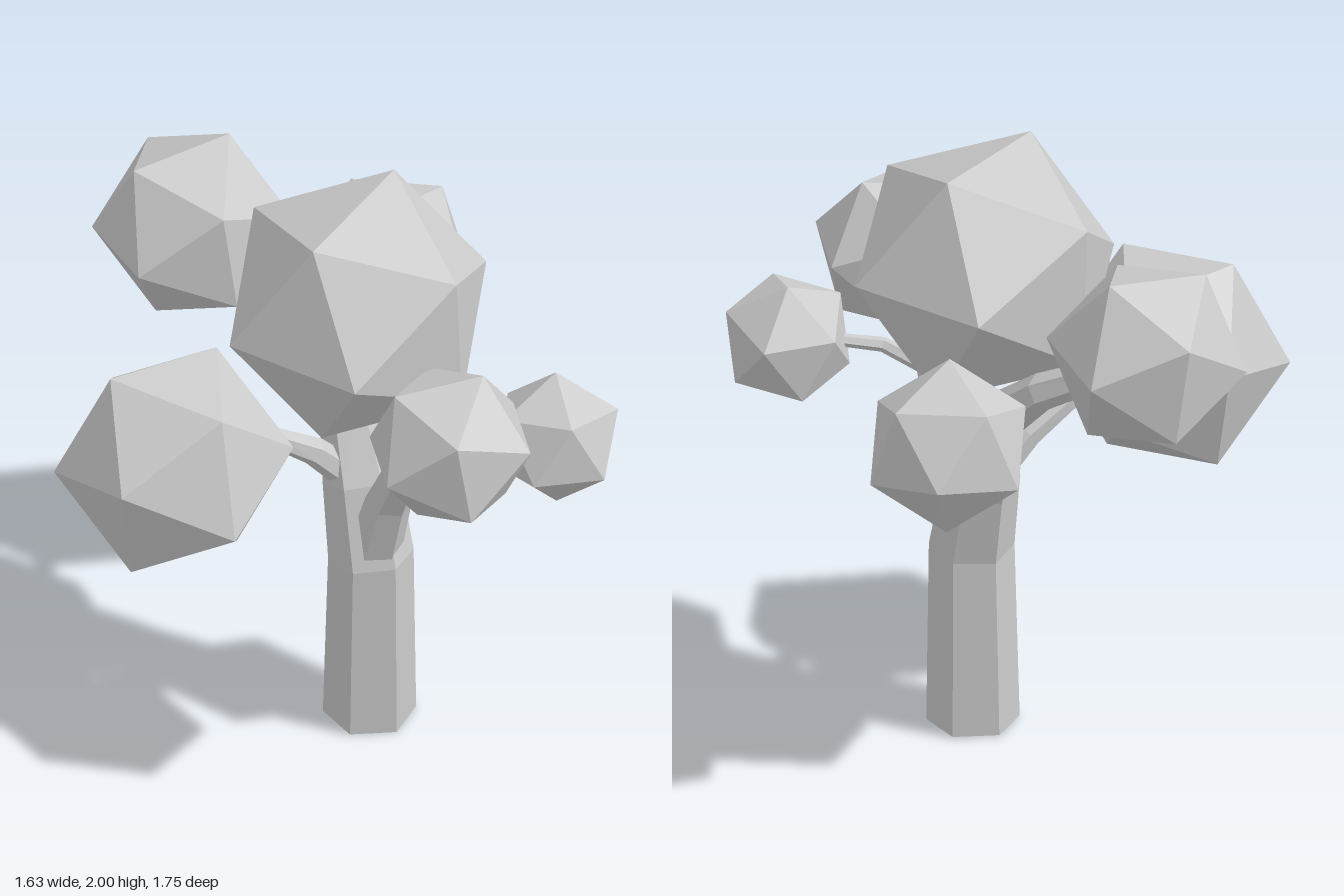
import * as THREE from 'three';

const material = new THREE.MeshStandardMaterial({ color: 0xcccccc, flatShading: true });
const vec = (a) => new THREE.Vector3(...a);

// Tapered hexagonal limb through points [x, y, z, radius]; ref fixes the ring's roll
function limb(name, points, ref = [1, 0, 0]) {
  const sides = 6;
  const centres = points.map((p) => vec(p.slice(0, 3)));
  const last = centres.length - 1;
  const positions = [];
  const index = [];
  centres.forEach((c, k) => {
    const before = c.clone().sub(centres[Math.max(k - 1, 0)]).normalize();
    const after = centres[Math.min(k + 1, last)].clone().sub(c).normalize();
    const t = k === 0 ? after : before.add(after).normalize();
    const u = vec(ref).addScaledVector(t, -vec(ref).dot(t)).normalize();
    const w = u.clone().cross(t);
    for (let i = 0; i < sides; i++) {
      const a = ((i + 0.5) / sides) * Math.PI * 2;
      const p = c.clone()
        .addScaledVector(u, Math.cos(a) * points[k][3])
        .addScaledVector(w, Math.sin(a) * points[k][3]);
      positions.push(p.x, p.y, p.z);
    }
  });
  const base = positions.length / 3;
  positions.push(...centres[0].toArray(), ...centres[last].toArray());
  for (let i = 0; i < sides; i++) {
    const j = (i + 1) % sides;
    for (let k = 0; k < last; k++) {
      const a = k * sides + i, b = k * sides + j;
      index.push(a, a + sides, b, b, a + sides, b + sides);
    }
    index.push(base, i, j, base + 1, last * sides + j, last * sides + i);
  }
  const geometry = new THREE.BufferGeometry();
  geometry.setAttribute('position', new THREE.Float32BufferAttribute(positions, 3));
  geometry.setIndex(index);
  geometry.computeVertexNormals();
  const mesh = new THREE.Mesh(geometry, material);
  mesh.name = name;
  return mesh;
}

// Icosahedral leaf clump, turned so two adjacent corners point along d1 and d2
function clump(name, centre, radius, d1, d2) {
  const a = vec(d1).normalize(), b = vec(d2).normalize();
  const x = b.clone().sub(a).normalize();
  const y = a.clone().add(b).normalize();
  const mesh = new THREE.Mesh(new THREE.IcosahedronGeometry(radius, 0), material);
  mesh.quaternion.setFromRotationMatrix(new THREE.Matrix4().makeBasis(x, y, x.clone().cross(y)));
  mesh.position.set(...centre);
  mesh.name = name;
  return mesh;
}

export function createModel() {
  const tree = new THREE.Group();
  tree.name = 'tree';

  // Trunk bending backwards into the rear clump
  tree.add(limb('trunk', [
    [0.147, 0, 0.095, 0.147], [0.145, 0.62, 0.105, 0.135], [0.15, 0.88, 0.045, 0.122],
    [0.175, 1.16, -0.08, 0.085], [0.16, 1.36, -0.31, 0.06], [0.02, 1.5, -0.53, 0.045],
  ]));

  // Branches
  tree.add(
    limb('frontBranch', [
      [0.14, 0.62, 0.12, 0.09], [0.14, 0.9, 0.21, 0.075],
      [0.13, 1.17, 0.345, 0.055], [0.09, 1.32, 0.54, 0.035],
    ]),
    limb('frontTwig', [
      [0.14, 1.14, 0.33, 0.03], [0.24, 1.2, 0.46, 0.024], [0.48, 1.25, 0.59, 0.018],
    ], [0, 1, 0]),
    limb('rightBranch', [
      [0.13, 0.88, 0.03, 0.055], [0, 1.02, 0, 0.046],
      [-0.13, 1.11, -0.03, 0.036], [-0.36, 1.14, -0.05, 0.028],
    ], [0, 0, 1]),
    limb('backBranch', [
      [0.165, 1.05, -0.03, 0.05], [0.24, 1.23, -0.15, 0.035], [0.48, 1.31, -0.33, 0.025],
    ], [0, 0, 1]),
  );

  // Foliage
  tree.add(
    clump('crownFoliage', [0.104, 1.61, 0.093], 0.446, [0.196, 0.39, -0.079], [0.438, 0.024, 0.079]),
    clump('rightFoliage', [-0.5, 1.17, -0.056], 0.378, [0.015, 0.289, 0.244], [-0.166, 0.32, -0.113]),
    clump('rearFoliage', [-0.037, 1.565, -0.603], 0.32, [0.137, 0.281, 0.003], [0.03, 0.148, -0.289]),
    clump('backLeftFoliage', [0.556, 1.315, -0.365], 0.275, [-0.05, 0.25, 0.08], [-0.25, 0.085, -0.07]),
    clump('frontFoliage', [0.067, 1.408, 0.643], 0.273, [0.1, 0.25, 0.037], [0.27, 0.027, -0.037]),
    clump('smallFrontFoliage', [0.497, 1.235, 0.613], 0.218, [0.033, 0.213, -0.04], [-0.041, 0.057, -0.204]),
  );
  return tree;
}
